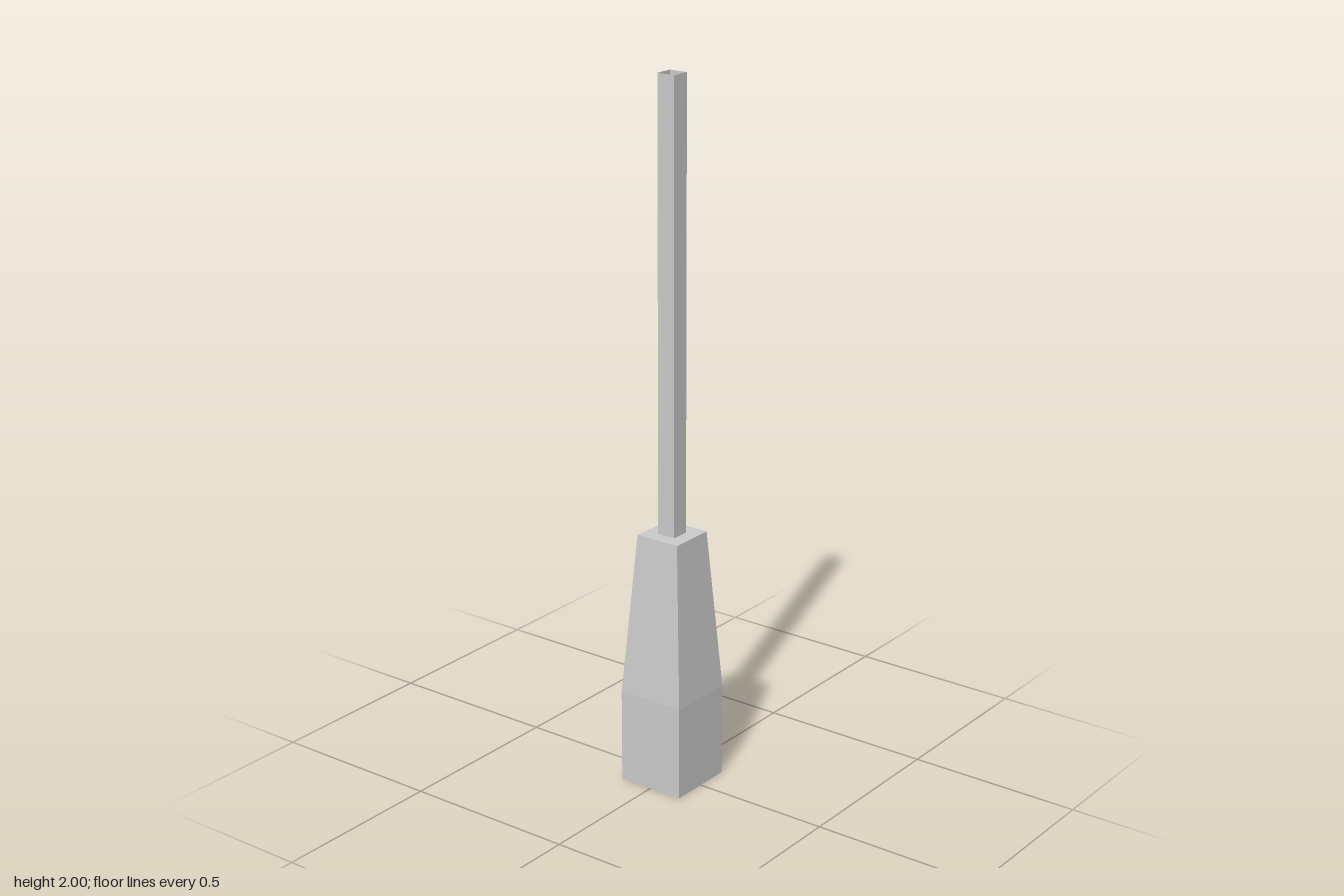
import * as THREE from 'three';

const material = new THREE.MeshStandardMaterial({
  color: 0xcccccc,
  flatShading: true,
  side: THREE.DoubleSide,
});

// Open square shell from a profile of [half width, height] pairs
function squareShell(name, profile) {
  const points = profile.map(([half, y]) => new THREE.Vector2(half * Math.SQRT2, y));
  const mesh = new THREE.Mesh(new THREE.LatheGeometry(points, 4, Math.PI / 4), material);
  mesh.name = name;
  return mesh;
}

export function createModel() {
  const group = new THREE.Group();
  group.name = 'chimney';

  // Straight foot, tapering walls and a flat shoulder around the shaft
  group.add(squareShell('base', [
    [0.1, 0],
    [0.1, 0.27],
    [0.067, 0.735],
    [0.027, 0.735],
  ]));

  // Slim hollow shaft, open at the top
  group.add(squareShell('shaft', [
    [0.027, 0.735],
    [0.027, 2],
  ]));

  return group;
}
